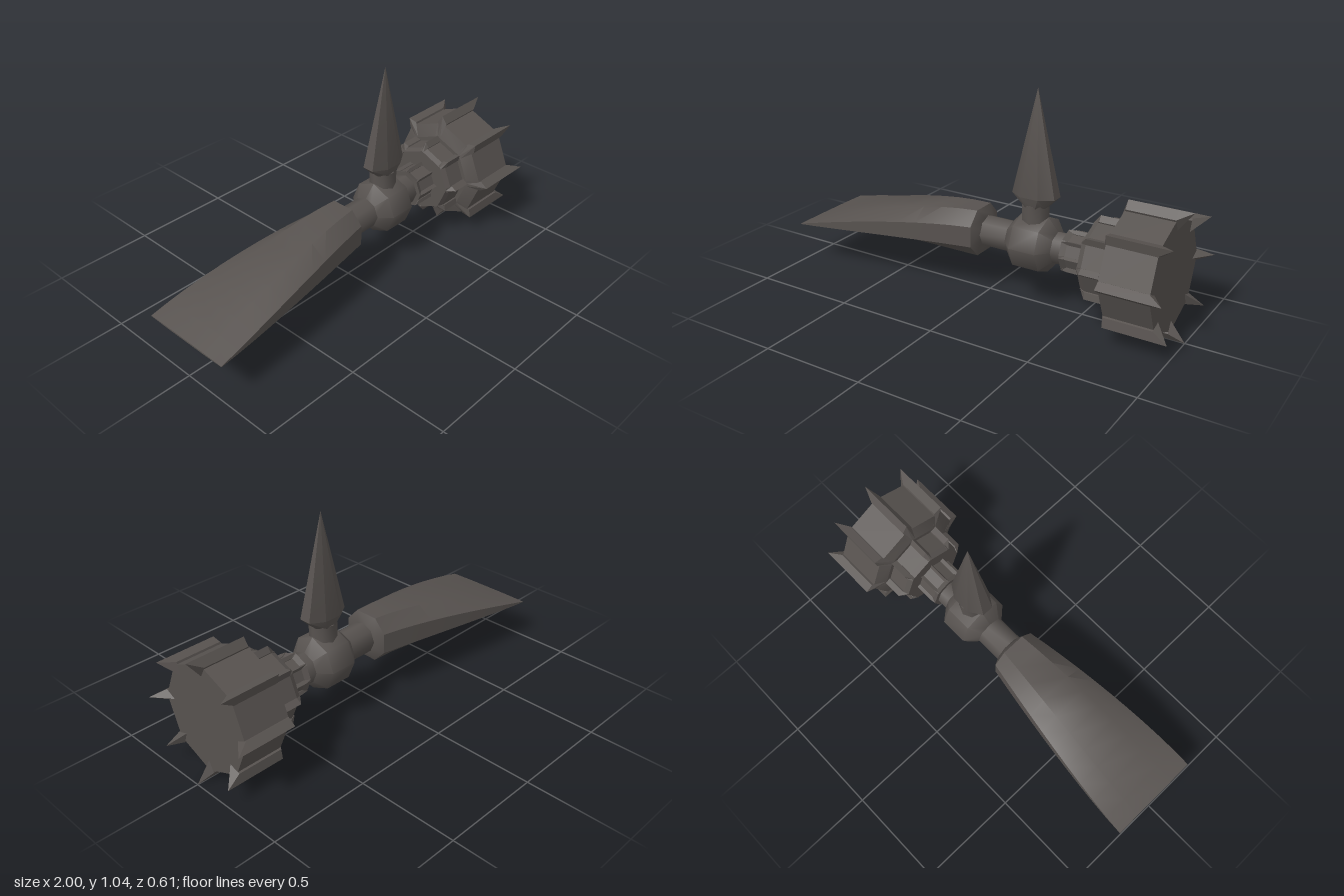
import * as THREE from 'three';
import { toCreasedNormals } from 'three/addons/utils/BufferGeometryUtils.js';

const AXIS_Y = 0.305;
const iron = new THREE.MeshStandardMaterial({ color: 0x57524f });
iron.name = 'darkIron';

// Skin a row of rings along +x. Each section is [x, [[y, z], ...]].
function loft(sections, crease) {
  const pos = [];
  const tri = (a, b, c) => pos.push(...a, ...b, ...c);
  const rings = sections.map(([x, pts]) => pts.map(([y, z]) => [x, y, z]));
  const n = rings[0].length;
  for (let s = 0; s < rings.length - 1; s++) {
    for (let i = 0; i < n; i++) {
      const j = (i + 1) % n;
      const a = rings[s][i], b = rings[s][j], c = rings[s + 1][j], d = rings[s + 1][i];
      tri(a, b, d);
      tri(b, c, d);
    }
  }
  const last = rings[rings.length - 1];
  for (let i = 1; i < n - 1; i++) {
    tri(rings[0][0], rings[0][i + 1], rings[0][i]);
    tri(last[0], last[i], last[i + 1]);
  }
  const g = new THREE.BufferGeometry();
  g.setAttribute('position', new THREE.Float32BufferAttribute(pos, 3));
  return toCreasedNormals(g, crease);
}

// Octagon with a corner (turn = 0) or a flat (turn = 0.5) at the top.
function octagon(ry, rz = ry, turn = 0) {
  return Array.from({ length: 8 }, (_, i) => {
    const a = (i + turn) * Math.PI / 4;
    return [Math.cos(a) * ry, Math.sin(a) * rz];
  });
}

function add(parent, name, geometry) {
  const mesh = new THREE.Mesh(geometry, iron);
  mesh.name = name;
  parent.add(mesh);
  return mesh;
}

// Octagonal drum with a kite-shaped rib on each corner.
function ribbedDrum(name, x0, x1, back, body, rib, tipX) {
  const group = new THREE.Group();
  group.name = name;
  group.position.y = AXIS_Y;
  add(group, name + 'Body', loft([
    [x0, octagon(back)], [x0 + 0.025, octagon(body)], [x1, octagon(body)],
  ], 0.3));
  const half = body * 0.1, inner = body * 0.8;
  const kite = [[rib, 0], [body, half], [inner, 0], [body, -half]];
  const sections = [
    [x0, kite.map(([, z]) => [back, z * 0.6])],
    [x0 + 0.03, kite],
    [x1, kite],
  ];
  if (tipX) sections.push([tipX, kite.map(() => [rib, 0])]);
  const ribGeometry = loft(sections, 0.3);
  for (let i = 0; i < 8; i++) add(group, name + 'Rib', ribGeometry).rotation.x = i * Math.PI / 4;
  return group;
}

export function createModel() {
  const model = new THREE.Group();
  model.name = 'warHammer';

  // Stepped striking head
  model.add(
    ribbedDrum('hammerHead', 0.67, 0.93, 0.2, 0.267, 0.305, 1.0),
    ribbedDrum('headStep', 0.545, 0.68, 0.165, 0.178, 0.205),
    ribbedDrum('headCollar', 0.42, 0.56, 0.1, 0.088, 0.104),
  );

  // Shaft and central ball
  const shaft = add(model, 'shaft', loft([[-0.02, octagon(0.077)], [0.44, octagon(0.077)]], 0.9));
  shaft.position.y = AXIS_Y;
  const ball = add(model, 'centralBall', loft([
    [0.11, octagon(0.06)], [0.18, octagon(0.135)],
    [0.315, octagon(0.135)], [0.38, octagon(0.06)],
  ], 0.9));
  ball.position.y = AXIS_Y;

  // Upright spike on a short neck
  const neck = add(model, 'spikeNeck', loft([[0.4, octagon(0.065)], [0.5, octagon(0.065)]], 0.9));
  const spike = add(model, 'topSpike', loft([
    [0.49, octagon(0.066, 0.06, 0.5)],
    [0.54, octagon(0.119, 0.076, 0.5)],
    [1.04, octagon(0, 0, 0.5)],
  ], 0.7));
  for (const part of [neck, spike]) {
    part.rotation.z = Math.PI / 2;
    part.position.x = 0.247;
  }

  // Curved, widening blade that thins to a straight edge
  const sections = [];
  const steps = 10;
  for (let s = 0; s <= steps; s++) {
    const t = s / steps;
    const rise = 1 - (1 - t) ** 1.6;
    const top = 0.203 + 0.217 * rise, upper = 0.201 + 0.154 * rise;
    const lower = 0.198 + 0.055 * rise;
    const bottom = 0.195 - 0.005 * t + 0.012 * Math.sin(Math.PI * t);
    const w = 0.235 - 0.117 * t ** 1.5, v = w * 0.5;
    sections.push([-1 + 0.965 * t, [
      [top, v], [upper, w], [lower, w], [bottom, v],
      [bottom, -v], [lower, -w], [upper, -w], [top, -v],
    ]]);
  }
  sections.push([-0.01, octagon(0.08, 0.08, 0.5).map(([y, z]) => [y + AXIS_Y, z])]);
  add(model, 'blade', loft(sections, 0.6));

  return model;
}
